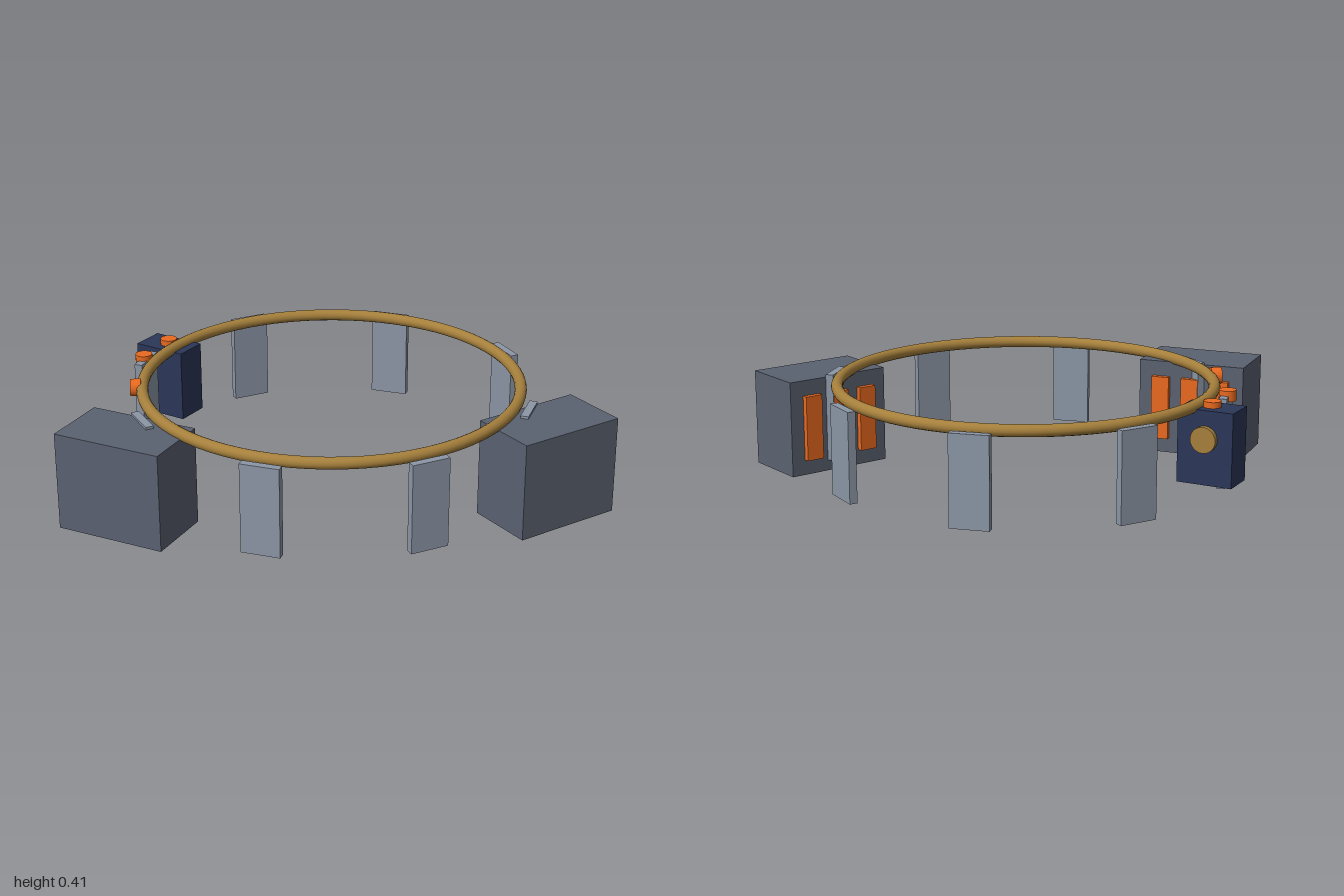
import * as THREE from 'three';

const material = (color) => new THREE.MeshStandardMaterial({ color });

export function createModel() {
  const model = new THREE.Group();
  const brass = material(0xa6803c);
  const steel = material(0x8c96a6);
  const slate = material(0x5a6170);
  const navy = material(0x2b3658);
  const orange = material(0xea6a20);

  const add = (parent, name, geometry, mat, x, y, z) => {
    const mesh = new THREE.Mesh(geometry, mat);
    mesh.name = name;
    mesh.position.set(x, y, z);
    parent.add(mesh);
    return mesh;
  };

  // Belt ring
  const ring = new THREE.TorusGeometry(0.7, 0.022, 14, 72).rotateX(Math.PI / 2);
  add(model, 'beltRing', ring, brass, 0, 0.379, 0);

  // Eight hanging plates, tangent to the ring
  const plate = new THREE.BoxGeometry(0.145, 0.337, 0.03);
  for (let i = 0; i < 8; i++) {
    const a = (i + 0.5) * Math.PI / 4;
    const mesh = add(model, 'hangingPlate', plate, steel, 0.75 * Math.sin(a), 0.209, 0.75 * Math.cos(a));
    mesh.rotation.y = a;
  }

  // Large case on each side, with three strips on its rear face
  const caseBox = new THREE.BoxGeometry(0.42, 0.368, 0.26);
  const strip = new THREE.BoxGeometry(0.07, 0.25, 0.03);
  for (const side of [1, -1]) {
    const group = new THREE.Group();
    group.name = side > 0 ? 'leftCase' : 'rightCase';
    group.position.set(side * 0.753, 0.184, 0.365);
    group.rotation.y = side * Math.PI / 6;
    add(group, 'caseBody', caseBox, slate, 0, 0, 0);
    for (const x of [-0.12, 0, 0.12]) add(group, 'caseStrip', strip, orange, x, 0, -0.137);
    model.add(group);
  }

  // Small pouch: local x points outward from the ring
  const pouch = new THREE.Group();
  pouch.name = 'pouch';
  pouch.position.set(-0.607, 0.237, -0.441);
  pouch.rotation.y = Math.PI * 0.8;
  add(pouch, 'pouchBody', new THREE.BoxGeometry(0.21, 0.274, 0.13), navy, 0, 0, 0);
  const button = new THREE.CylinderGeometry(0.048, 0.048, 0.03, 24).rotateX(Math.PI / 2);
  add(pouch, 'pouchButton', button, brass, 0, 0.033, 0.07);
  model.add(pouch);

  // Orange studs: two upright, one facing outward
  const stud = new THREE.CylinderGeometry(0.032, 0.032, 0.04, 20);
  add(model, 'upperStud', stud, orange, -0.607, 0.376, -0.441);
  add(model, 'upperStud', stud, orange, -0.7, 0.376, -0.287);
  add(model, 'sideStud', stud, orange, -0.724, 0.379, 0).rotation.z = Math.PI / 2;

  return model;
}
